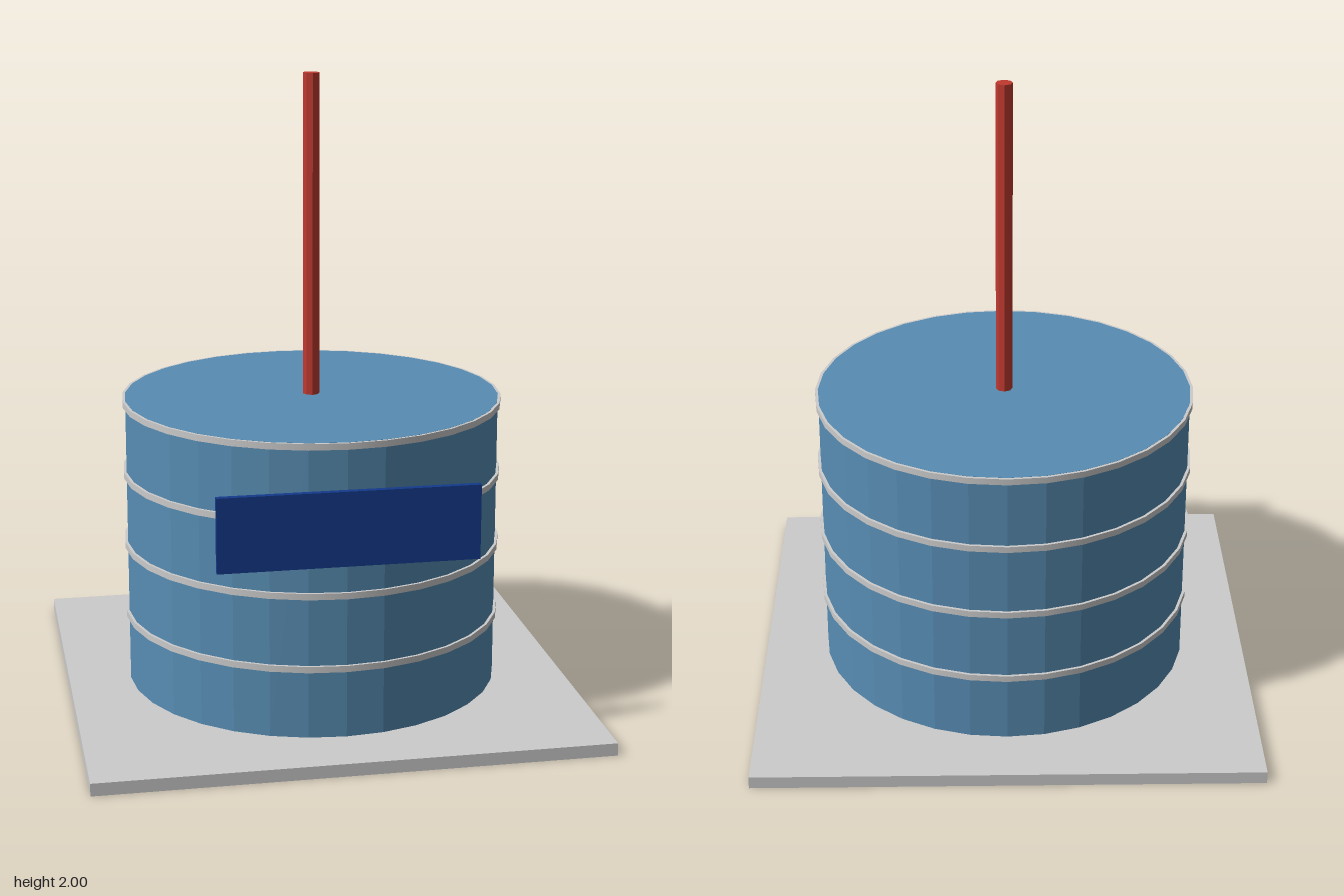
import * as THREE from 'three';

const mat = (color, flatShading = false) => new THREE.MeshStandardMaterial({ color, flatShading });

export function createModel() {
  const model = new THREE.Group();
  const add = (name, geometry, material, x, y, z) => {
    const mesh = new THREE.Mesh(geometry, material);
    mesh.name = name;
    mesh.position.set(x, y, z);
    model.add(mesh);
  };

  const TOP = 0.9735, SLAB = 0.04, HALF = 0.8;

  // Square base: a thin deck with a skirt, open underneath
  const slabMaterial = mat(0xcccccc, true);
  slabMaterial.side = THREE.DoubleSide;
  const corner = HALF * Math.SQRT2;
  add('baseDeck', new THREE.PlaneGeometry(2 * HALF, 2 * HALF).rotateX(-Math.PI / 2), slabMaterial, 0, SLAB, 0);
  add('baseSkirt', new THREE.CylinderGeometry(corner, corner, SLAB, 4, 1, true).rotateY(Math.PI / 4),
    slabMaterial, 0, SLAB / 2, 0);

  // Faceted tank, its bottom disc just showing through the deck
  const bottom = SLAB - 0.0007;
  add('tank', new THREE.CylinderGeometry(0.6, 0.6, TOP - bottom, 32), mat(0x588db4, true), 0, (TOP + bottom) / 2, 0);

  // Four evenly spaced flat hoops, the last one just under the lid's edge
  const hoop = new THREE.CylinderGeometry(0.609, 0.609, 0.02, 32);
  const hoopMaterial = mat(0xeeeeee);
  for (let i = 1; i <= 4; i++) {
    add('hoop' + i, hoop, hoopMaterial, 0, 0.0298 + i * 0.2333, 0);
  }

  // Eight-sided mast standing on the lid
  add('mast', new THREE.CylinderGeometry(0.0265, 0.0265, 2 - TOP, 8), mat(0xc0392f, true), 0, (2 + TOP) / 2, 0);

  // Blank sign panel floating just ahead of the tank
  add('signPanel', new THREE.BoxGeometry(0.8, 0.233, 0.02), mat(0x143a8c), 0, 0.717, 0.63);

  return model;
}
